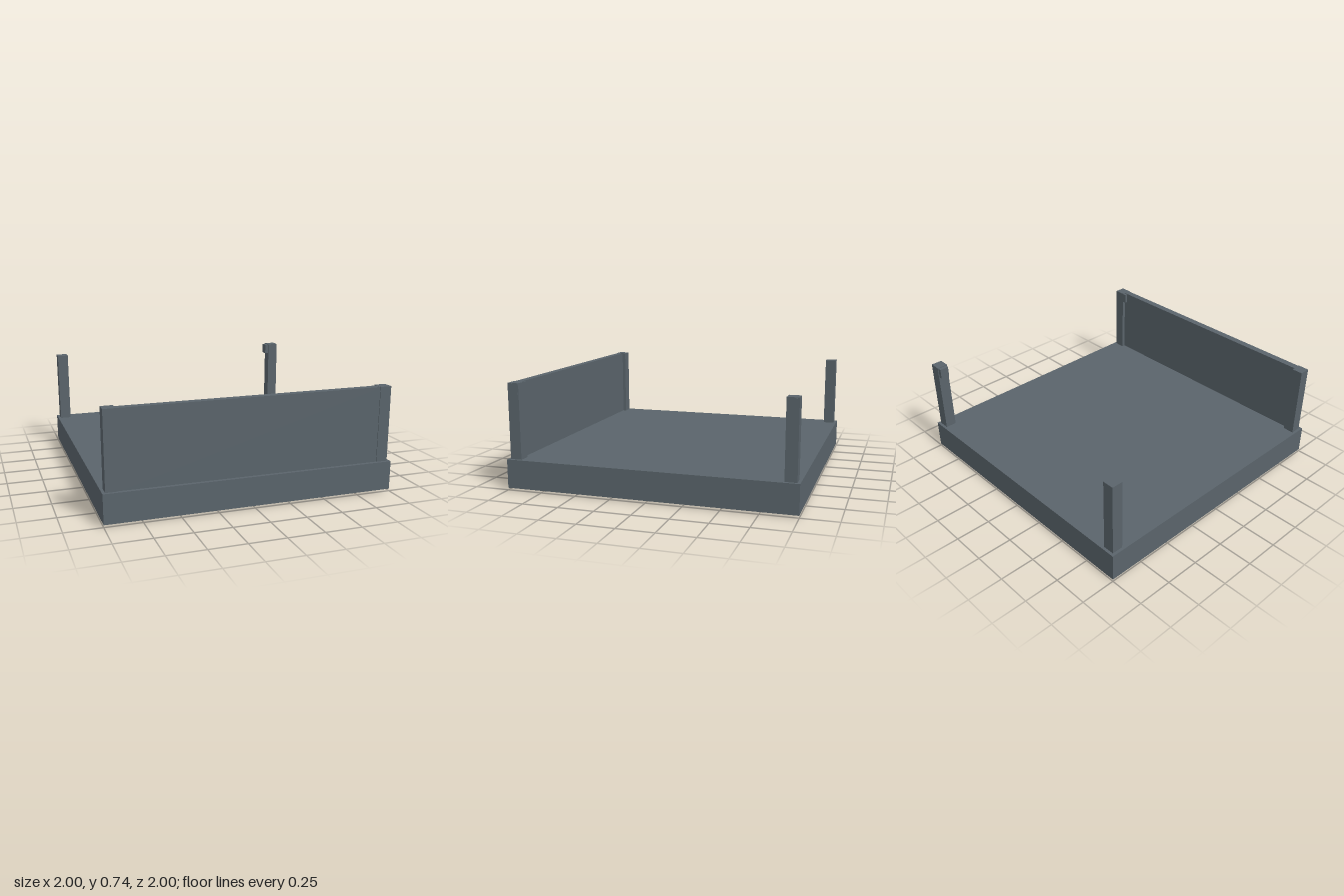
import * as THREE from 'three';

export function createModel() {
  const group = new THREE.Group();
  const slate = new THREE.MeshStandardMaterial({ color: 0x5a646b });
  slate.name = 'slate grey';

  // box given by its minimum and maximum corners
  function box(name, [x0, y0, z0], [x1, y1, z1]) {
    const mesh = new THREE.Mesh(new THREE.BoxGeometry(x1 - x0, y1 - y0, z1 - z0), slate);
    mesh.position.set((x0 + x1) / 2, (y0 + y1) / 2, (z0 + z1) / 2);
    mesh.name = name;
    group.add(mesh);
  }

  // deck with a thin plate under it
  box('deck', [-1, 0.015, -1], [1, 0.215, 1]);
  box('bottomPlate', [-0.925, 0, -0.925], [0.925, 0.02, 0.925]);

  // corner posts; the left pair carries a latch block through its top
  for (const z of [-0.94, 0.94]) {
    const end = z > 0 ? 'front' : 'back';
    for (const x of [-0.94, 0.94]) {
      const side = x > 0 ? 'Left' : 'Right';
      box(end + side + 'Post', [x - 0.04, 0.21, z - 0.04], [x + 0.04, 0.74, z + 0.04]);
    }
    box(end + 'Latch', [0.873, 0.66, z - 0.035], [0.982, 0.735, z + 0.03]);
  }

  // board closing the front side
  box('frontBoard', [-0.91, 0.21, 0.925], [0.91, 0.739, 0.975]);

  return group;
}
